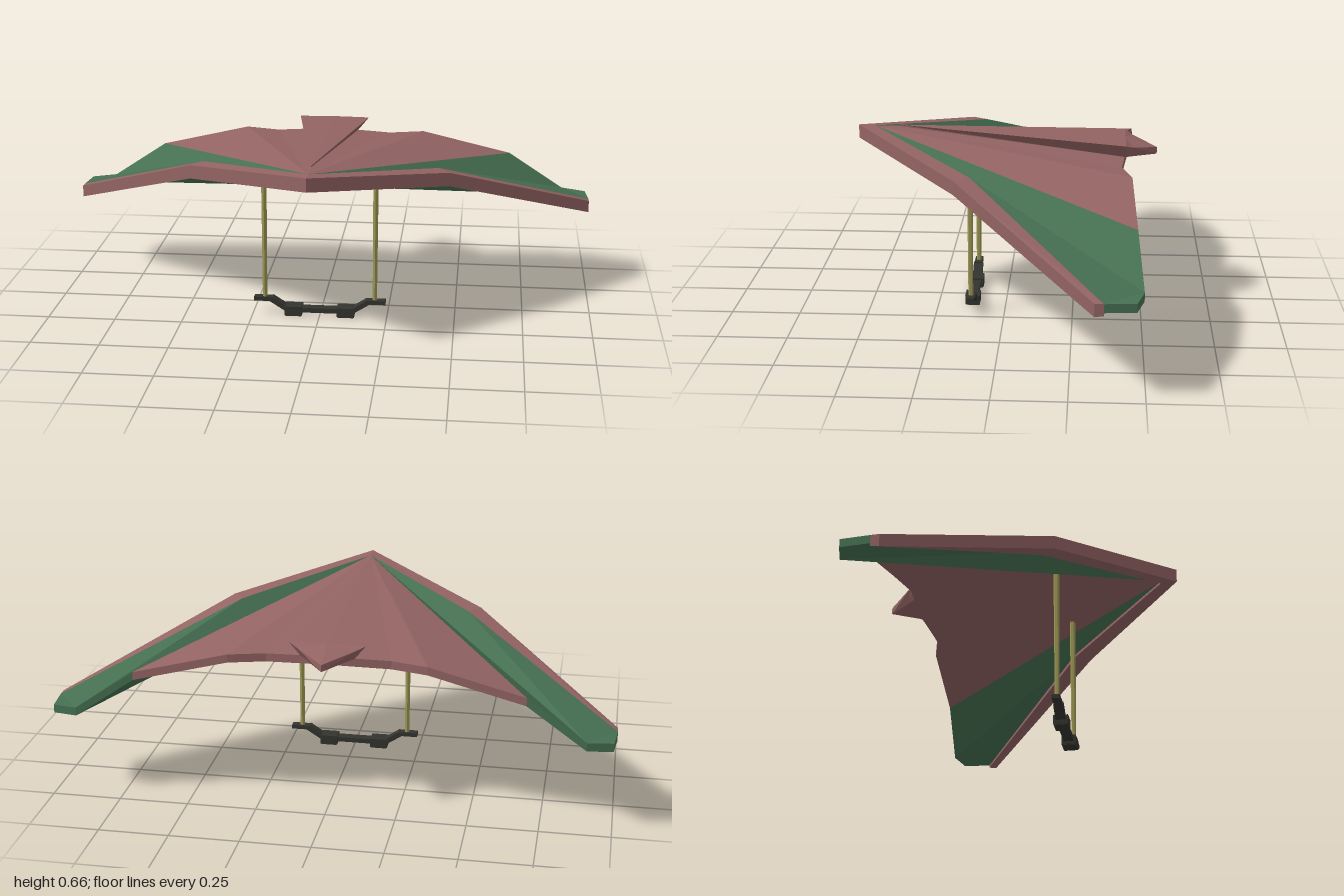
import * as THREE from 'three';

const mat = (color) => new THREE.MeshStandardMaterial({ color, flatShading: true, side: THREE.DoubleSide });
const BROWN = mat(0x946464), GREEN = mat(0x467052), OLIVE = mat(0x9c9755), DARK = mat(0x33332f);

// Thick folded panel: points are [x, y, z, thickness]; open edges get side walls.
// inset pulls the underside toward the centre line.
function slab(name, pts, tris, material, inset = 1) {
  const top = pts.map(([x, y, z]) => [x, y, z]);
  const low = pts.map(([x, y, z, t]) => [x * inset, y - t, z]);
  const out = [];
  const edges = new Set();
  tris.forEach((t) => t.forEach((a, i) => edges.add(a + '_' + t[(i + 1) % 3])));
  for (const t of tris) {
    const [a, b, c] = t;
    out.push(top[a], top[b], top[c], low[a], low[c], low[b]);
    t.forEach((p, i) => {
      const q = t[(i + 1) % 3];
      if (edges.has(q + '_' + p)) return;
      out.push(top[p], low[p], low[q], top[p], low[q], top[q]);
    });
  }
  const geo = new THREE.BufferGeometry();
  geo.setAttribute('position', new THREE.Float32BufferAttribute(out.flat(), 3));
  geo.computeVertexNormals();
  const mesh = new THREE.Mesh(geo, material);
  mesh.name = name;
  return mesh;
}

const fan = (n) => Array.from({ length: n - 2 }, (_, i) => [0, i + 1, i + 2]);

// Square-section bar between two points of the xy plane
function bar(name, x1, y1, x2, y2, height, depth, z) {
  const mesh = new THREE.Mesh(new THREE.BoxGeometry(Math.hypot(x2 - x1, y2 - y1), height, depth), DARK);
  mesh.position.set((x1 + x2) / 2, (y1 + y2) / 2, z);
  mesh.rotation.z = Math.atan2(y2 - y1, x2 - x1);
  mesh.name = name;
  return mesh;
}

function halfGlider(name) {
  const half = new THREE.Group();
  half.name = name;

  // Shared corners of the wing
  const nose = [0, 0.652, 0.49, 0.04];
  const bend = [0.43, 0.577, 0.105, 0.035];
  const tip = [1, 0.335, -0.36, 0.03];
  const rearTip = [0.9, 0.34, -0.49, 0.03];
  const rearMid = [0.69, 0.482, -0.47, 0.03];

  // Leading edge strip
  half.add(slab('leadingEdge', [
    [0, 0.655, 0.55, 0.05], [0.47, 0.576, 0.16, 0.05], [1, 0.336, -0.33, 0.045],
    [...tip.slice(0, 3), 0.04], [...bend.slice(0, 3), 0.05], [...nose.slice(0, 3), 0.05],
  ], [[0, 1, 4], [0, 4, 5], [1, 2, 3], [1, 3, 4]], BROWN));

  // Outer wing panel, folded along the line from nose to rear tip
  half.add(slab('outerSail', [nose, bend, tip, [0.99, 0.335, -0.465, 0.03], rearTip, rearMid],
    [[0, 1, 4], [0, 4, 5], [1, 2, 4], [2, 3, 4]], GREEN));

  // Inner wing panel with the scalloped rear edge
  const inner = [nose, rearMid, [0.35, 0.565, -0.455, 0.03], [0.22, 0.565, -0.42, 0.03],
    [0.1, 0.57, -0.43, 0.03], [0, 0.575, -0.44, 0.03]];
  half.add(slab('innerSail', inner, fan(inner.length), BROWN));

  // Raised centre panel with the pointed tail
  const centre = [[0, 0.656, 0.4, 0.005], [0.135, 0.62, -0.435, 0.05], [0.1, 0.607, -0.46, 0.04],
    [0, 0.585, -0.55, 0.025], [0, 0.622, -0.435, 0.05]];
  half.add(slab('centrePanel', centre, [[0, 1, 4], [1, 2, 4], [2, 3, 4]], BROWN, 0.7));

  // Upright of the control frame
  const upright = new THREE.Mesh(new THREE.CylinderGeometry(0.011, 0.009, 0.52, 6), OLIVE);
  upright.position.set(0.205, 0.32, 0.123);
  upright.name = 'upright';
  half.add(upright);

  // Control bar: foot plate, sloped arm, grip and middle bar
  half.add(
    bar('footPlate', 0.17, 0.06, 0.245, 0.06, 0.015, 0.03, 0.123),
    bar('slopedArm', 0.18, 0.06, 0.12, 0.022, 0.018, 0.036, 0.123),
    bar('grip', 0.065, 0.02, 0.13, 0.02, 0.034, 0.054, 0.123),
    bar('middleBar', 0, 0.022, 0.07, 0.022, 0.018, 0.036, 0.123),
    bar('gripSole', 0.068, 0.004, 0.127, 0.004, 0.008, 0.05, 0.123),
  );
  return half;
}

export function createModel() {
  const glider = new THREE.Group();
  glider.name = 'hangGlider';
  const left = halfGlider('leftHalf');
  const right = halfGlider('rightHalf');
  right.scale.x = -1;
  glider.add(left, right);
  return glider;
}
